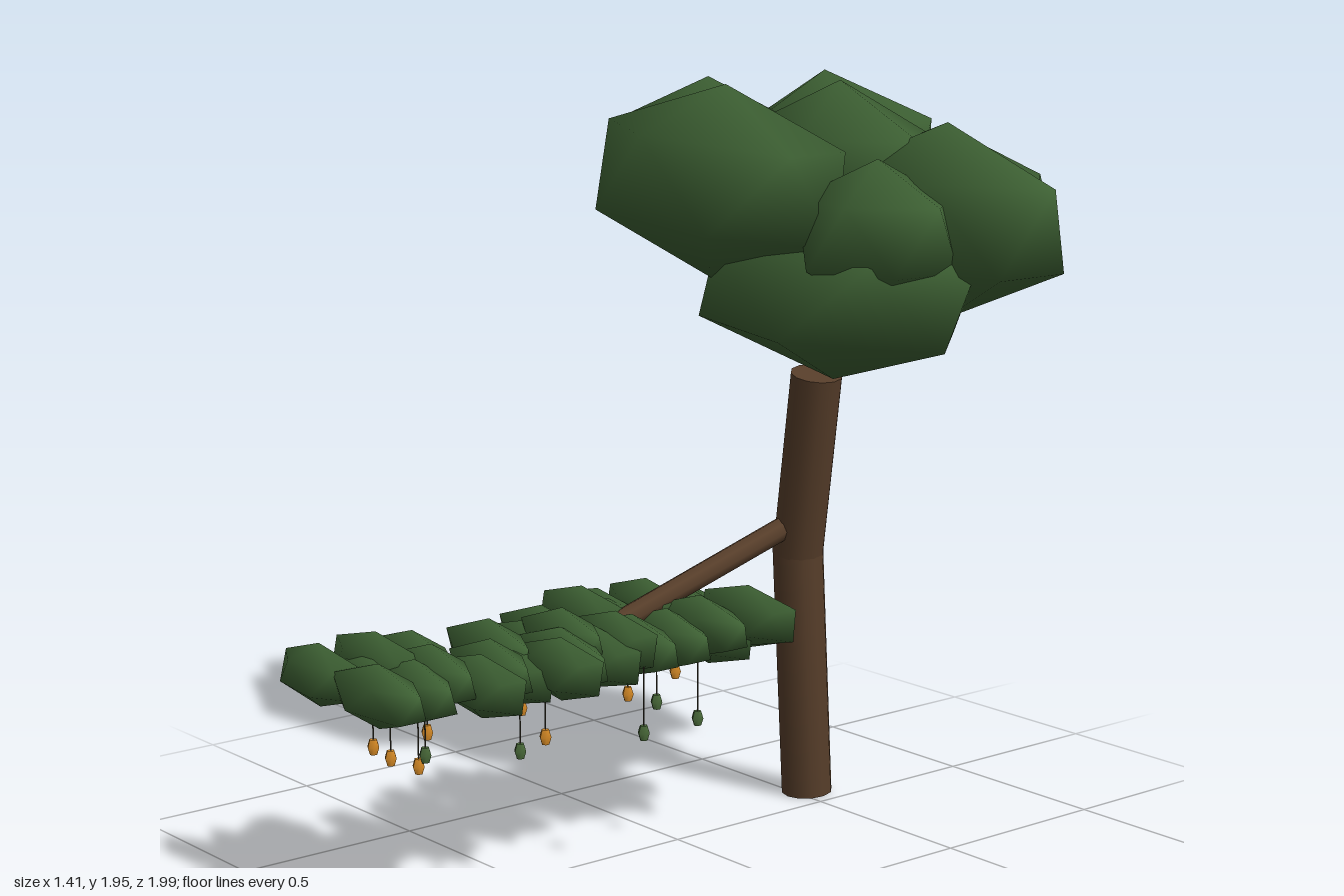
import * as THREE from 'three';

const mat = (name, color) => {
  const m = new THREE.MeshStandardMaterial({ color });
  m.name = name;
  return m;
};

export function createModel() {
  const root = new THREE.Group();
  root.name = 'tree';
  const bark = mat('bark', 0x573e2a);
  const foliage = mat('foliage', 0x3d6033);
  const ripe = mat('ripeFruit', 0xd98c26);
  const unripe = mat('unripeFruit', 0x4a6b3a);
  const thread = mat('stem', 0x3f3a2c);

  const add = (parent, name, geometry, material) => {
    const mesh = new THREE.Mesh(geometry, material);
    mesh.name = name;
    parent.add(mesh);
    return mesh;
  };
  const group = (name) => {
    const g = new THREE.Group();
    g.name = name;
    root.add(g);
    return g;
  };

  // Straight limb between two points
  const limb = (parent, name, a, b, r0, r1, material, sides = 12) => {
    const p = new THREE.Vector3(...a), q = new THREE.Vector3(...b);
    const dir = q.clone().sub(p);
    const mesh = add(parent, name, new THREE.CylinderGeometry(r1, r0, dir.length(), sides), material);
    mesh.position.copy(p).add(q).multiplyScalar(0.5);
    mesh.quaternion.setFromUnitVectors(new THREE.Vector3(0, 1, 0), dir.normalize());
  };

  // Smooth icosahedron standing on a vertex: centre, half sizes, yaw, and tilt about x and z in degrees
  const ico = new THREE.IcosahedronGeometry(1, 0);
  ico.rotateX(-Math.atan((1 + Math.sqrt(5)) / 2));
  ico.setAttribute('normal', ico.attributes.position.clone());
  const rad = THREE.MathUtils.degToRad;
  const blob = (parent, name, c, half, yaw, tiltX = 0, tiltZ = 0) => {
    const g = ico.clone().rotateY(rad(yaw));
    g.scale(half[0] / 0.88, half[1], half[2] / 0.88);
    g.rotateX(rad(tiltX)).rotateZ(rad(tiltZ)).translate(...c);
    add(parent, name, g, foliage);
  };

  // Trunk with a bend, and one long side branch
  const wood = group('wood');
  limb(wood, 'lowerTrunk', [-0.09, 0.004, -0.53], [-0.09, 0.7, -0.49], 0.069, 0.069, bark);
  limb(wood, 'upperTrunk', [-0.09, 0.68, -0.491], [0.01, 1.18, -0.462], 0.069, 0.069, bark);
  limb(wood, 'branch', [-0.09, 0.765, -0.48], [-0.09, 0.575, 0.15], 0.032, 0.031, bark, 8);
  limb(wood, 'branchEnd', [-0.09, 0.58, 0.13], [-0.06, 0.54, 0.66], 0.031, 0.026, bark, 8);

  // Crown of large overlapping clumps
  const crown = group('crown');
  [
    [[-0.14, 1.685, -0.25], [0.42, 0.25, 0.22], -8, -3, -3],
    [[-0.36, 1.68, -0.4], [0.35, 0.255, 0.225], -72],
    [[-0.21, 1.695, -0.71], [0.29, 0.255, 0.255], -20, 7],
    [[-0.04, 1.68, -0.58], [0.31, 0.255, 0.22], 15],
    [[0.17, 1.58, -0.75], [0.35, 0.245, 0.25], 160],
    [[0.34, 1.6, -0.6], [0.37, 0.25, 0.19], 90],
    [[0.12, 1.415, -0.42], [0.45, 0.23, 0.245], 44],
    [[0.32, 1.58, -0.38], [0.22, 0.19, 0.18], 18],
  ].forEach((clump) => blob(crown, 'crownClump', ...clump));

  // Leaf clumps along the side branch: x, y, z
  const leaves = group('branchLeaves');
  [
    [-0.05, 0.54, -0.26], [-0.22, 0.54, -0.2], [0.08, 0.59, -0.17], [-0.16, 0.56, -0.13],
    [-0.02, 0.53, -0.12], [0.02, 0.57, -0.06], [-0.18, 0.58, -0.04], [-0.02, 0.54, 0.02],
    [-0.27, 0.55, 0.05], [-0.2, 0.54, 0.07], [-0.22, 0.58, 0.14], [0, 0.55, 0.15],
    [0.01, 0.57, 0.21], [-0.22, 0.55, 0.27], [0, 0.54, 0.27], [-0.04, 0.59, 0.34],
    [-0.15, 0.54, 0.36], [0.02, 0.56, 0.39], [0.1, 0.56, 0.45], [-0.13, 0.57, 0.5],
    [-0.04, 0.53, 0.51], [0, 0.56, 0.59], [0.06, 0.545, 0.66], [-0.22, 0.55, 0.67],
    [-0.2, 0.53, 0.74], [-0.02, 0.57, 0.75], [-0.17, 0.58, 0.81], [0.01, 0.55, 0.82],
    [-0.14, 0.54, 0.85], [0.02, 0.56, 0.93], [-0.23, 0.56, 0.935],
  ].forEach(([x, y, z], i) => {
    const half = [0.16 + 0.012 * (i % 3 - 1), 0.08, 0.063];
    blob(leaves, 'leafClump', [x, y, z], half, i % 2 ? 18 : -18);
  });

  // Hanging fruit on thin stems: x, y, z, ripe
  const fruits = group('fruits');
  const fruitShape = new THREE.CylinderGeometry(0.01, 0.01, 0.038, 6, 2);
  const p = fruitShape.attributes.position;
  for (let i = 0; i < p.count; i++) {
    if (Math.abs(p.getY(i)) < 0.01) p.setXYZ(i, p.getX(i) * 1.6, p.getY(i), p.getZ(i) * 1.6);
  }
  fruitShape.computeVertexNormals();
  [
    [-0.13, 0.385, 0.85, 1], [-0.13, 0.347, 0.8, 1], [-0.01, 0.355, 0.8, 1], [0.005, 0.385, 0.79, 0],
    [-0.19, 0.37, 0.65, 1], [0.05, 0.357, 0.54, 0], [0.06, 0.382, 0.47, 1], [-0.12, 0.405, 0.41, 1],
    [0.135, 0.362, 0.22, 0], [0, 0.385, 0.07, 0], [0.08, 0.347, 0, 0], [-0.2, 0.35, 0.005, 1],
    [-0.12, 0.412, -0.09, 1],
  ].forEach(([x, y, z, isRipe]) => {
    add(fruits, 'fruit', fruitShape, isRipe ? ripe : unripe).position.set(x, y, z);
    limb(fruits, 'fruitStem', [x, y + 0.01, z], [x, 0.54, z], 0.002, 0.002, thread, 5);
  });

  return root;
}
